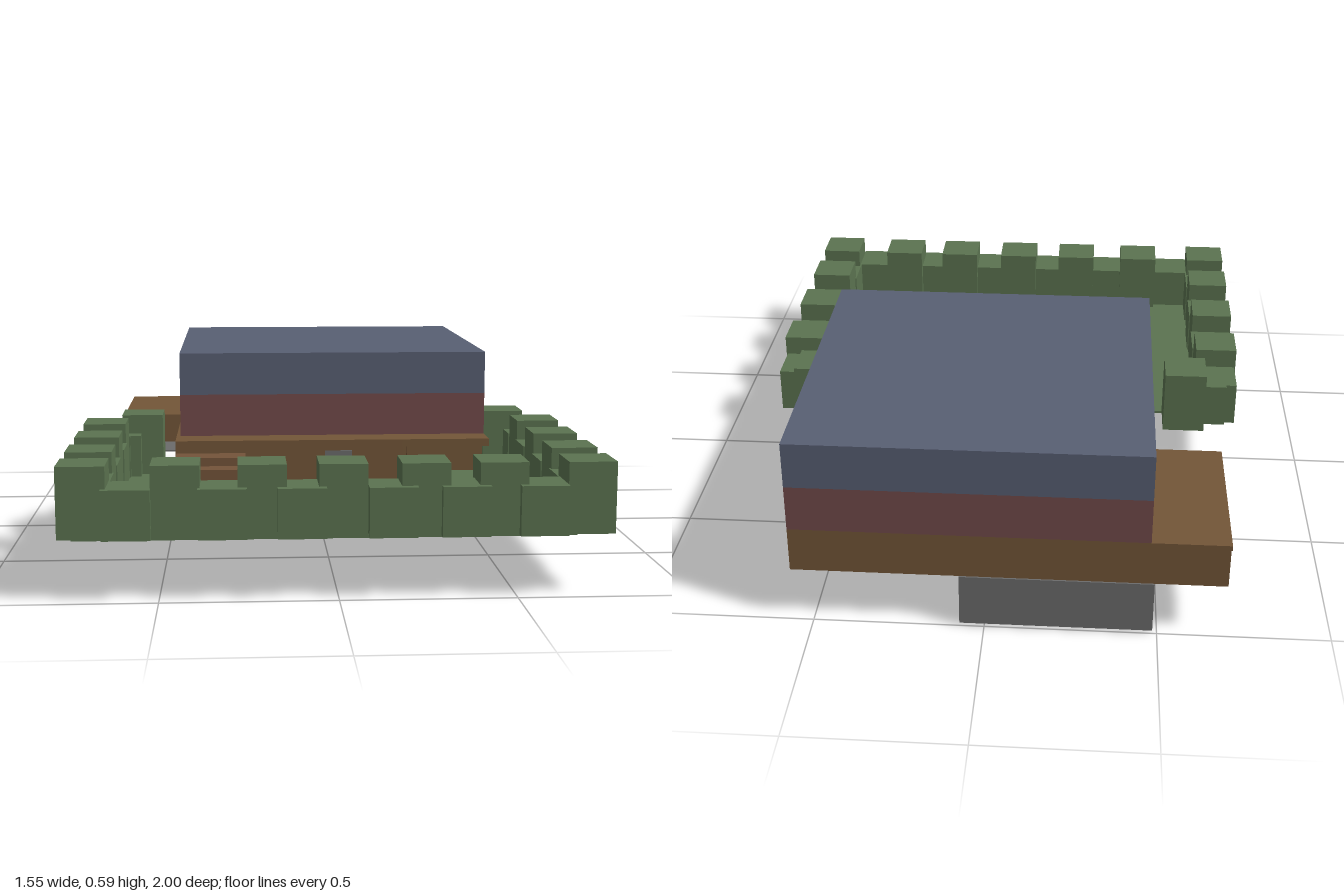
import * as THREE from 'three';

const mat = (name, color) => {
  const m = new THREE.MeshStandardMaterial({ color });
  m.name = name;
  return m;
};

export function createModel() {
  const green = mat('hedge green', 0x5b7350);
  const brown = mat('timber brown', 0x735638);
  const crateBrown = mat('crate brown', 0x74543a);
  const red = mat('brick red', 0x724a4a);
  const blue = mat('slate blue', 0x585f73);
  const grey = mat('stone grey', 0x6b6b6b);

  const root = new THREE.Group();
  root.name = 'houseWithYard';
  const group = (name) => {
    const g = new THREE.Group();
    g.name = name;
    root.add(g);
    return g;
  };
  // Box given by its minimum and maximum on each axis
  const box = (parent, name, m, x0, x1, y0, y1, z0, z1) => {
    const mesh = new THREE.Mesh(new THREE.BoxGeometry(x1 - x0, y1 - y0, z1 - z0), m);
    mesh.position.set((x0 + x1) / 2, (y0 + y1) / 2, (z0 + z1) / 2);
    mesh.name = name;
    parent.add(mesh);
    return mesh;
  };

  // House storeys
  const house = group('house');
  box(house, 'groundFloor', brown, -0.485, 0.56, 0.172, 0.31, -0.995, 0.0);
  box(house, 'middleFloor', red, -0.472, 0.56, 0.31, 0.45, -0.995, 0.03);
  box(house, 'topFloor', blue, -0.472, 0.56, 0.45, 0.59, -0.995, 0.03);

  // Front extension: solid wall, open doorway under the roof edge
  box(house, 'frontWall', brown, -0.485, 0.27, 0.176, 0.31, 0.0, 0.14);
  box(house, 'porchRoof', brown, 0.27, 0.56, 0.285, 0.31, 0.0, 0.14);
  box(house, 'doorPost', brown, 0.285, 0.3, 0.176, 0.285, 0.115, 0.135);
  box(house, 'window', grey, 0.01, 0.1, 0.205, 0.275, 0.139, 0.144);

  // Side annex with an open end
  const annex = group('annex');
  box(annex, 'annexRoom', brown, -0.695, -0.485, 0.172, 0.3, -0.995, -0.68);
  box(annex, 'annexRoof', brown, -0.698, -0.485, 0.295, 0.31, -0.995, -0.48);
  box(annex, 'annexFloor', grey, -0.695, -0.485, 0.168, 0.174, -0.68, -0.49);

  // Basement, tunnel and ramp
  const basement = group('basement');
  box(basement, 'basementRoom', grey, -0.487, 0.072, 0.01, 0.172, -1.0, -0.19);
  box(basement, 'basementLanding', grey, -0.3, 0.2, 0.167, 0.172, -0.42, -0.16);
  box(basement, 'basementHatch', brown, -0.275, -0.14, 0.0, 0.01, -0.7, -0.38);
  box(basement, 'basementPost', brown, -0.277, -0.262, 0.01, 0.168, -0.192, -0.185);
  box(basement, 'tunnelRoom', grey, -0.3, 0.072, 0.1, 0.17, 0.33, 0.63);
  box(basement, 'tunnelSide', grey, -0.525, -0.3, 0.1, 0.17, 0.34, 0.54);
  const ramp = box(basement, 'ramp', grey, -0.07, 0.01, 0.1, 0.163, -0.19, 0.33);
  ramp.position.y = 0.085;
  const p = ramp.geometry.attributes.position;
  for (let i = 0; i < p.count; i++) p.setY(i, p.getY(i) + p.getZ(i) * 0.09 / 0.52);
  ramp.geometry.computeVertexNormals();

  // Yard lawn
  const yard = group('yard');
  box(yard, 'lawn', green, -0.74, 0.67, 0.17, 0.178, 0.0, 0.97);

  // Hedge blocks: a low row and a tall row of overlapping cubes
  const hedge = group('hedge');
  const S = 0.136;
  const block = (name, x, z, top) => box(hedge, name, green, x, x + S, 0.175, top, z, z + S);
  const LOW = 0.317, TALL = 0.38;
  for (const x of [-0.52, -0.28, -0.055, 0.175, 0.393]) block('tallHedgeFront', x, 0.839, TALL);
  for (const x of [-0.655, -0.39, -0.17, 0.083, 0.286, 0.505]) block('lowHedgeFront', x, 0.863, LOW);
  for (const x of [-0.778, 0.64]) {
    const inset = x > 0 ? -0.004 : 0.004;
    for (const z of [0.843, 0.61, 0.345, 0.075]) block('tallHedgeSide', x, z, TALL);
    for (const z of [-0.06, 0.208, 0.477, 0.727]) block('lowHedgeSide', x + inset, z, LOW);
  }
  block('tallHedgeBackRight', -0.668, -0.122, TALL);
  block('lowHedgeBackRight', -0.74, -0.075, LOW);
  block('tallHedgeBackLeft', 0.565, -0.155, TALL);

  // Stepped crate on the lawn
  const crate = group('crate');
  box(crate, 'crateBack', crateBrown, -0.468, -0.255, 0.178, 0.3, 0.402, 0.465);
  box(crate, 'crateMiddle', crateBrown, -0.468, -0.255, 0.178, 0.325, 0.465, 0.55);
  box(crate, 'crateFront', crateBrown, -0.468, -0.255, 0.178, 0.3, 0.55, 0.613);

  return root;
}
